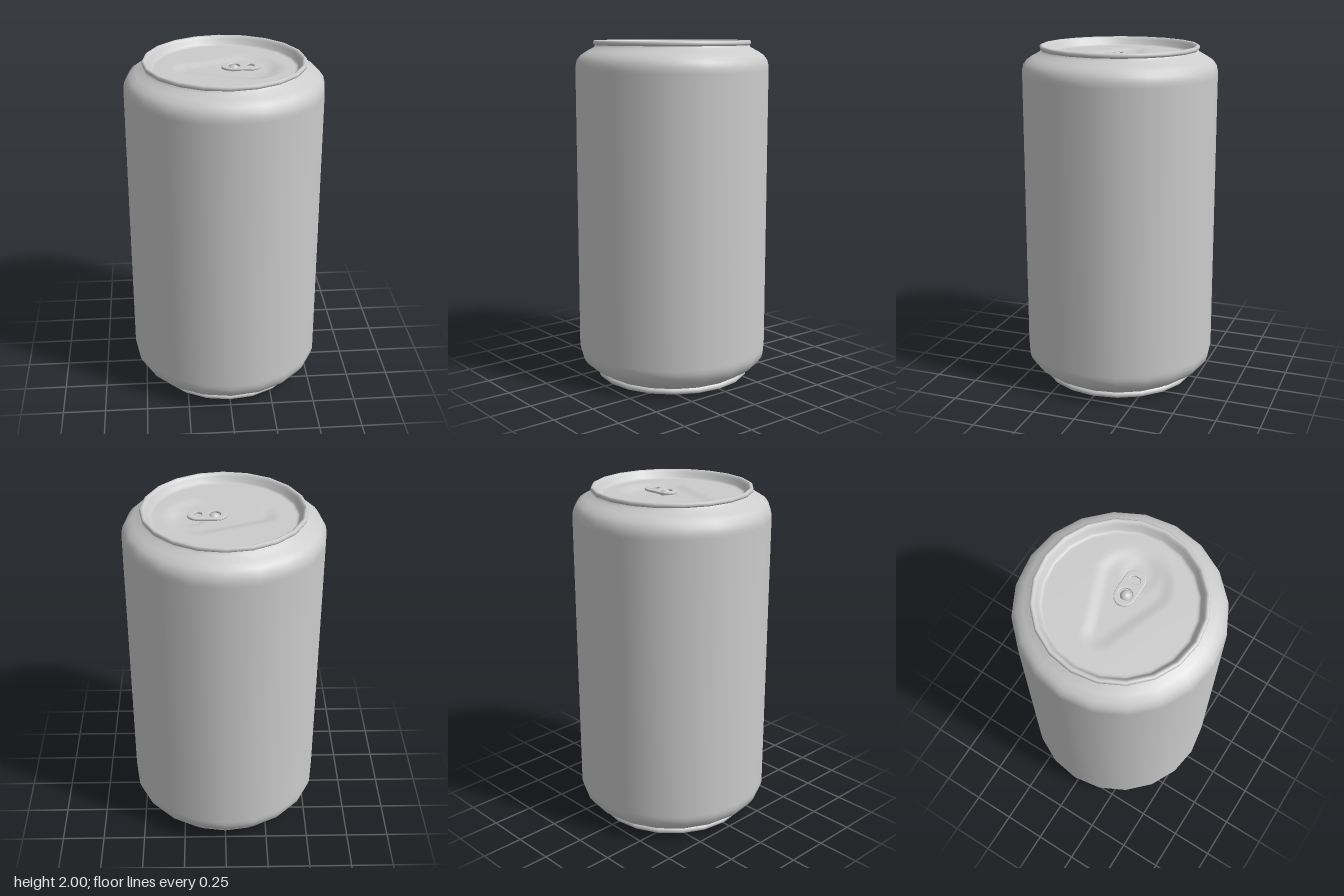
import * as THREE from 'three';

const SIDES = 20;
const LID_Y = 1.95, LID_R = 0.395;
const metal = new THREE.MeshStandardMaterial({ color: 0xcccccc });

function add(group, name, geometry) {
  const mesh = new THREE.Mesh(geometry, metal);
  mesh.name = name;
  group.add(mesh);
  return mesh;
}

const profile = pairs => pairs.map(([r, y]) => new THREE.Vector2(r, y));

// Height of the stamped lid panel: a teardrop hollow plus a finger dimple
function lidHeight(x, z) {
  const t = THREE.MathUtils.clamp((x + 0.2) / 0.32, 0, 1);
  const edge = Math.hypot(x - (-0.2 + 0.32 * t), z) - (0.07 + 0.12 * t);
  const hollow = 1 - THREE.MathUtils.smoothstep(edge, -0.05, 0.03);
  const dimple = 1 - THREE.MathUtils.smoothstep(Math.hypot(x - 0.19, z), 0.05, 0.11);
  return LID_Y - 0.014 * hollow - 0.008 * dimple;
}

function lidGeometry() {
  const rings = 28;
  const points = [];
  for (let i = 0; i <= rings; i++) points.push(new THREE.Vector2(LID_R * (1 - i / rings), LID_Y));
  const geometry = new THREE.LatheGeometry(points, SIDES * 4);
  const p = geometry.attributes.position;
  const step = (2 * Math.PI) / SIDES;
  for (let i = 0; i < p.count; i++) {
    let x = p.getX(i), z = p.getZ(i);
    // pull the circle onto the straight sides of the wall
    const a = Math.atan2(x, z) + 2 * Math.PI;
    const k = Math.cos(step / 2) / Math.cos((a % step) - step / 2);
    x *= k;
    z *= k;
    p.setXYZ(i, x, lidHeight(x, z), z);
  }
  geometry.computeVertexNormals();
  return geometry;
}

// Pull tab outline with two oval holes, drawn in x/z and laid flat
function tabGeometry() {
  const shape = new THREE.Shape();
  shape.absellipse(0.045, 0, 0.058, 0.053, Math.PI / 2, Math.PI * 1.5);
  shape.absellipse(0.14, 0, 0.058, 0.053, -Math.PI / 2, Math.PI / 2);
  shape.closePath();
  for (const [x, rx, rz] of [[0.051, 0.038, 0.043], [0.143, 0.027, 0.034]]) {
    const hole = new THREE.Path();
    hole.absellipse(x, 0, rx, rz, 0, Math.PI * 2, true);
    shape.holes.push(hole);
  }
  const geometry = new THREE.ExtrudeGeometry(shape, {
    depth: 0.006, bevelEnabled: true, bevelThickness: 0.004, bevelSize: 0.005, bevelSegments: 2, curveSegments: 14,
  });
  return geometry.rotateX(-Math.PI / 2);
}

export function createModel() {
  const can = new THREE.Group();
  can.name = 'drinkCan';

  // Domed underside and foot ring
  add(can, 'base', new THREE.LatheGeometry(profile([
    [0, 0.1], [0.15, 0.096], [0.28, 0.085], [0.37, 0.068], [0.398, 0.055], [0.41, 0.03],
    [0.422, 0.008], [0.435, 0], [0.45, 0.002], [0.458, 0.01], [0.458, 0.022], [0.452, 0.03], [0.447, 0.034],
  ]), SIDES));

  // Side wall with rounded shoulders
  add(can, 'body', new THREE.LatheGeometry(profile([
    [0.447, 0.034], [0.458, 0.044], [0.5, 0.066], [0.535, 0.093], [0.556, 0.125], [0.564, 0.155], [0.565, 0.18],
    [0.565, 1.83], [0.564, 1.855], [0.556, 1.887], [0.535, 1.915], [0.5, 1.938], [0.458, 1.96], [0.449, 1.973],
  ]), SIDES));

  // Rolled top rim and the wall sloping down to the lid
  add(can, 'rim', new THREE.LatheGeometry(profile([
    [0.449, 1.973], [0.457, 1.977], [0.46, 1.984], [0.459, 1.994], [0.453, 2], [0.444, 2],
    [0.436, 1.995], [0.428, 1.982], [0.415, 1.958], [0.406, 1.95], [LID_R, LID_Y],
  ]), SIDES));

  add(can, 'lid', lidGeometry());

  // Tab and the rivet that holds it
  add(can, 'pullTab', tabGeometry()).position.y = 1.951;
  const rivet = add(can, 'rivet', new THREE.SphereGeometry(0.031, 20, 8, 0, Math.PI * 2, 0, Math.PI / 2));
  rivet.position.set(0.053, 1.934, 0);

  return can;
}
